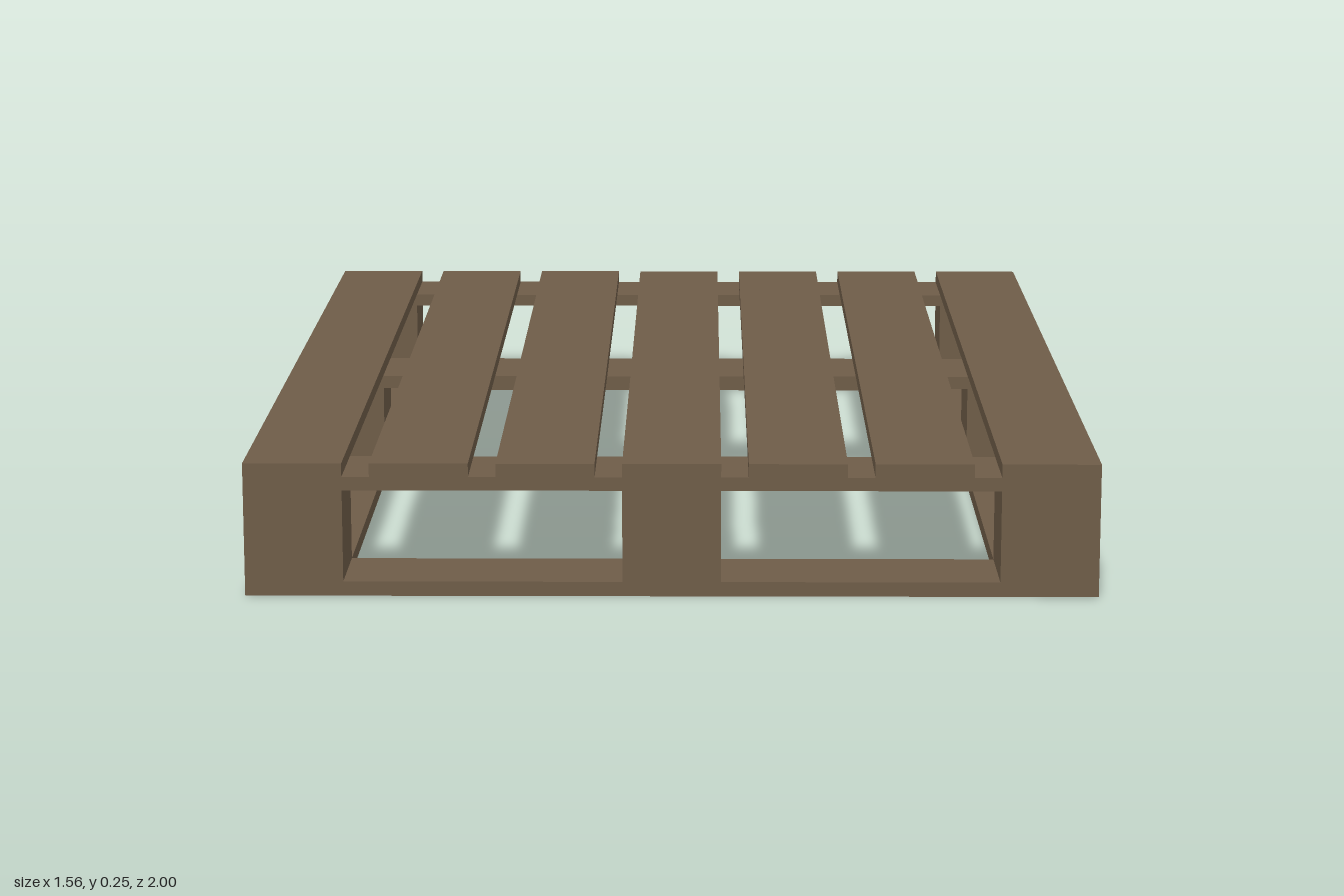
import * as THREE from 'three';

export function createModel() {
  const pallet = new THREE.Group();
  pallet.name = 'pallet';
  const wood = new THREE.MeshStandardMaterial({ color: 0x6e5c48 });
  wood.name = 'brown wood';

  // Box given by its centre x, z, its base height and its size
  function plank(name, x, z, base, w, h, d) {
    const mesh = new THREE.Mesh(new THREE.BoxGeometry(w, h, d), wood);
    mesh.name = name;
    mesh.position.set(x, base + h / 2, z);
    pallet.add(mesh);
  }

  const W = 1.56, L = 2, boardW = 0.18, endD = 0.17, midD = 0.186;
  const yBlock = 0.027, yCross = 0.198, yDeck = 0.223, top = 0.248;
  const columns = [-1, 0, 1].map((i) => i * (W - boardW) / 2);
  const endZ = (L - endD) / 2;

  // Bottom frame: two end boards and three runners between them
  for (const s of [-1, 1]) plank('bottomEndBoard', 0, s * endZ, 0, W, yBlock, endD);
  for (const x of columns) plank('bottomRunner', x, 0, 0, boardW, yBlock, L - 2 * endD);

  // Nine spacer blocks, and a cross board over each row
  for (const i of [-1, 0, 1]) {
    for (const x of columns) {
      plank('block', x, i * endZ, yBlock, boardW, yCross - yBlock, endD);
    }
    plank('crossBoard', 0, i * endZ, yCross, W, yDeck - yCross, i ? endD : midD);
  }

  // Seven deck boards running front to back
  for (let i = -3; i <= 3; i++) {
    plank('deckBoard', i * (W - boardW) / 6, 0, yDeck, boardW, top - yDeck, L);
  }
  return pallet;
}
